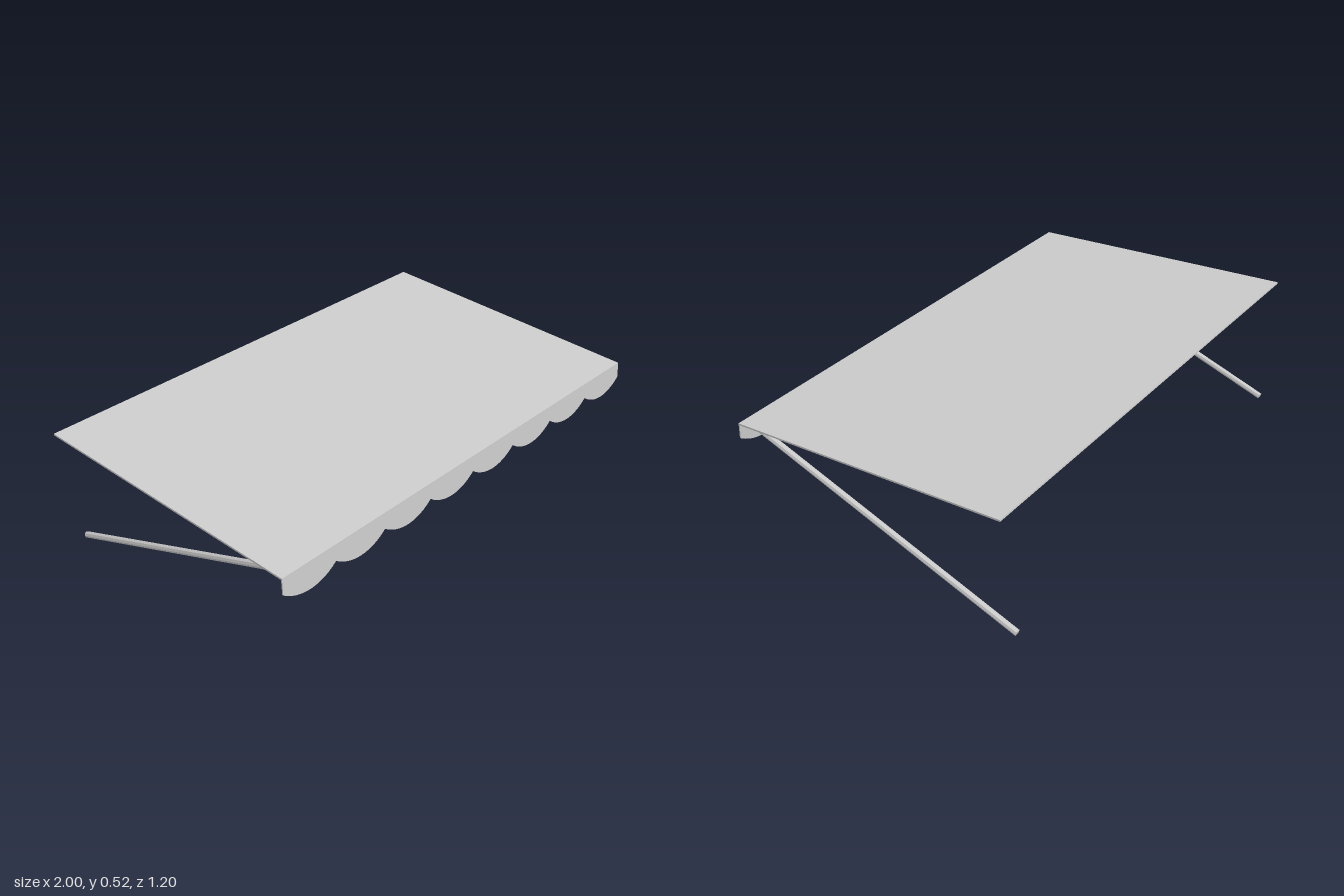
import * as THREE from 'three';

export function createModel() {
  const group = new THREE.Group();
  group.name = 'awning';
  const material = new THREE.MeshStandardMaterial({ color: 0xcccccc, flatShading: true, side: THREE.DoubleSide });

  const add = (geometry, name) => {
    const mesh = new THREE.Mesh(geometry, material);
    mesh.name = name;
    group.add(mesh);
    return mesh;
  };

  // Sloping fabric canopy: a thin slab from the wall to the front bar
  const back = new THREE.Vector3(0, 0.519, -0.575);
  const front = new THREE.Vector3(0, 0.444, 0.594);
  const slope = front.clone().sub(back);
  const canopy = add(new THREE.BoxGeometry(2, 0.007, slope.length()), 'canopy');
  canopy.position.copy(back).add(front).multiplyScalar(0.5);
  canopy.rotation.x = Math.atan2(-slope.y, slope.z);

  // Hanging valance with eight scallops along its lower edge
  const scallops = 8, pitch = 2 / scallops, cusp = -0.064, low = -0.121;
  const shape = new THREE.Shape();
  shape.moveTo(1, 0);
  shape.lineTo(-1, 0);
  shape.lineTo(-1, cusp);
  for (let i = 0; i < scallops; i++) {
    const x = -1 + i * pitch;
    shape.bezierCurveTo(x + pitch * 0.3, low, x + pitch * 0.7, low, x + pitch, cusp);
  }
  shape.closePath();
  const valance = add(
    new THREE.ExtrudeGeometry(shape, { depth: 0.005, bevelEnabled: false, curveSegments: 12 }),
    'valance'
  );
  valance.position.set(0, 0.447, 0.589);
  valance.rotation.x = -0.055;

  // Two support arms running from the front edge down to the wall
  const up = new THREE.Vector3(0, 1, 0);
  for (const [x, name] of [[-0.9, 'rightArm'], [0.937, 'leftArm']]) {
    const foot = new THREE.Vector3(x, 0.0125, -0.594);
    const head = new THREE.Vector3(x, 0.414, 0.588);
    const along = head.clone().sub(foot);
    const arm = add(new THREE.CylinderGeometry(0.0125, 0.0125, along.length(), 8), name);
    arm.position.copy(foot).add(head).multiplyScalar(0.5);
    arm.quaternion.setFromUnitVectors(up, along.normalize());
  }

  return group;
}
